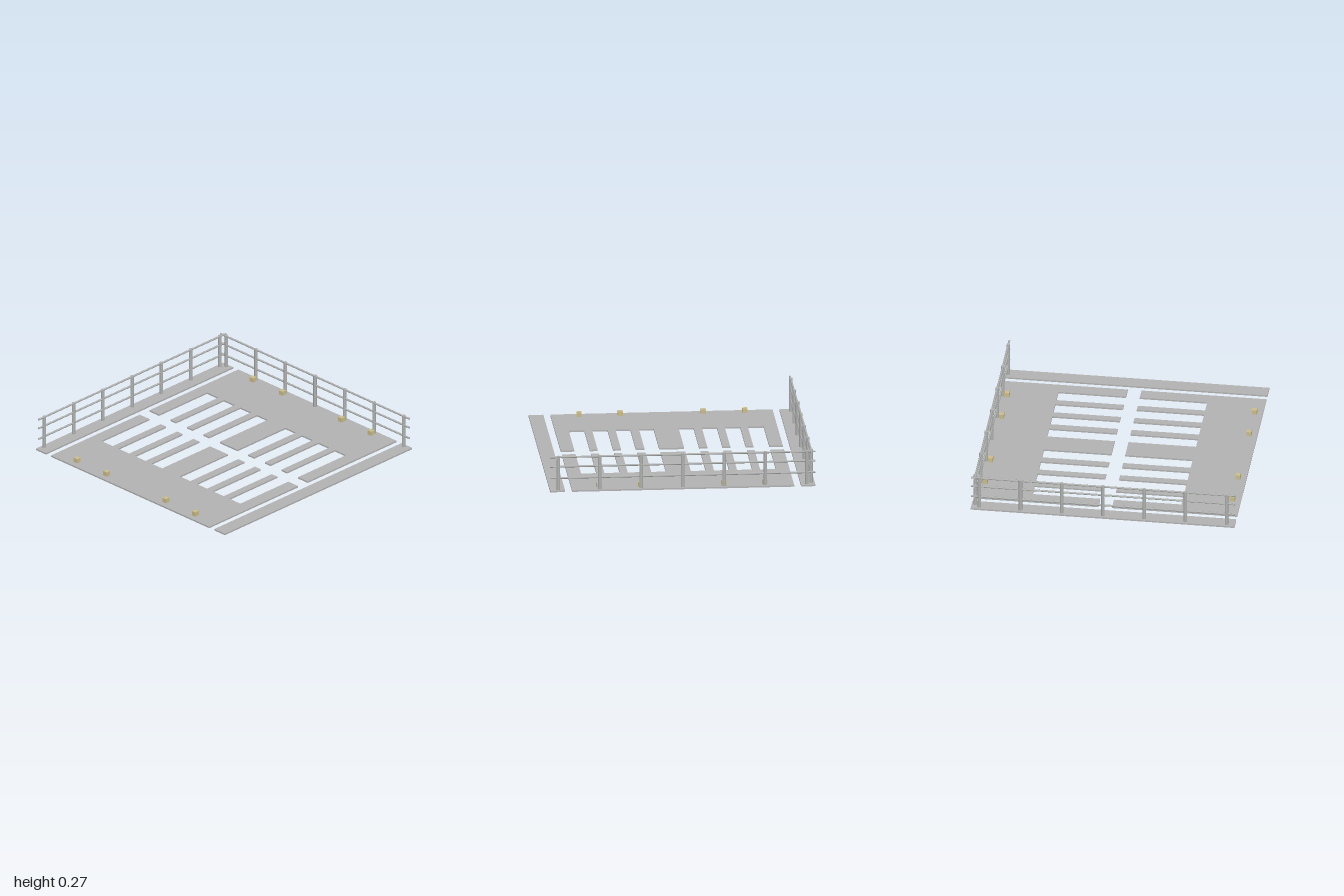
import * as THREE from 'three';

const concrete = new THREE.MeshStandardMaterial({ name: 'grey concrete', color: 0xb2b2b2 });
const metal = new THREE.MeshStandardMaterial({ name: 'grey metal', color: 0xb0b2b0 });
const sand = new THREE.MeshStandardMaterial({ name: 'sand yellow', color: 0xcbbd88 });

const FLOOR = 0.012;
const SPOTS = [-0.937, -0.625, -0.313, 0, 0.313, 0.625, 0.937];

function add(parent, name, geometry, material, x, y, z) {
  const mesh = new THREE.Mesh(geometry, material);
  mesh.name = name;
  mesh.position.set(x, y, z);
  parent.add(mesh);
  return mesh;
}

// Comb-shaped slab whose teeth point towards the middle aisle
function combSlab() {
  const teeth = [[-0.84, -0.738], [-0.618, -0.56], [-0.444, -0.385], [-0.271, -0.209], [-0.096, 0.092],
    [0.203, 0.268], [0.38, 0.44], [0.556, 0.615], [0.732, 0.835]];
  const shape = new THREE.Shape();
  shape.moveTo(-0.84, 1);
  for (const [a, b] of teeth) {
    shape.lineTo(a, 0.564);
    shape.lineTo(a, 0.052);
    shape.lineTo(b, 0.052);
    shape.lineTo(b, 0.564);
  }
  shape.lineTo(0.835, 1);
  return shape;
}

// Row of posts with three long rails, running along x
function railing(name) {
  const group = new THREE.Group();
  group.name = name;
  const post = new THREE.CylinderGeometry(0.0135, 0.0135, 0.274, 10);
  for (const x of SPOTS) add(group, 'post', post, metal, x, 0.137, 0);
  const rail = new THREE.CylinderGeometry(0.0075, 0.0075, 2, 8);
  rail.rotateZ(Math.PI / 2);
  for (const y of [0.103, 0.192, 0.266]) add(group, 'rail', rail, metal, 0, y, 0);
  return group;
}

export function createModel() {
  const model = new THREE.Group();
  model.name = 'parkingDeck';

  // Two slabs, mirrored across the aisle
  for (const side of [1, -1]) {
    const shape = combSlab();
    const points = shape.getPoints().map((p) => new THREE.Vector2(p.x, -p.y * side));
    const slab = new THREE.ExtrudeGeometry(new THREE.Shape(points), { depth: FLOOR, bevelEnabled: false });
    slab.rotateX(-Math.PI / 2);
    add(model, side > 0 ? 'frontSlab' : 'backSlab', slab, concrete, 0, 0, 0);
  }

  // Side strips
  add(model, 'rightStrip', new THREE.BoxGeometry(0.108, FLOOR, 2), concrete, -0.946, FLOOR / 2, 0);
  add(model, 'leftStrip', new THREE.BoxGeometry(0.112, FLOOR, 2), concrete, 0.944, FLOOR / 2, 0);

  // Railings on the back and on the -x edge
  const back = railing('backRailing');
  back.position.z = -0.972;
  const edge = railing('sideRailing');
  edge.rotation.y = Math.PI / 2;
  edge.position.x = -0.972;
  model.add(back, edge);

  // Small blocks at the ends of the bays
  const block = new THREE.BoxGeometry(0.037, 0.046, 0.037);
  for (const z of [-0.94, 0.937]) {
    for (const x of [-0.625, -0.313, 0.313, 0.625]) add(model, 'wheelBlock', block, sand, x, 0.024, z);
  }
  return model;
}
